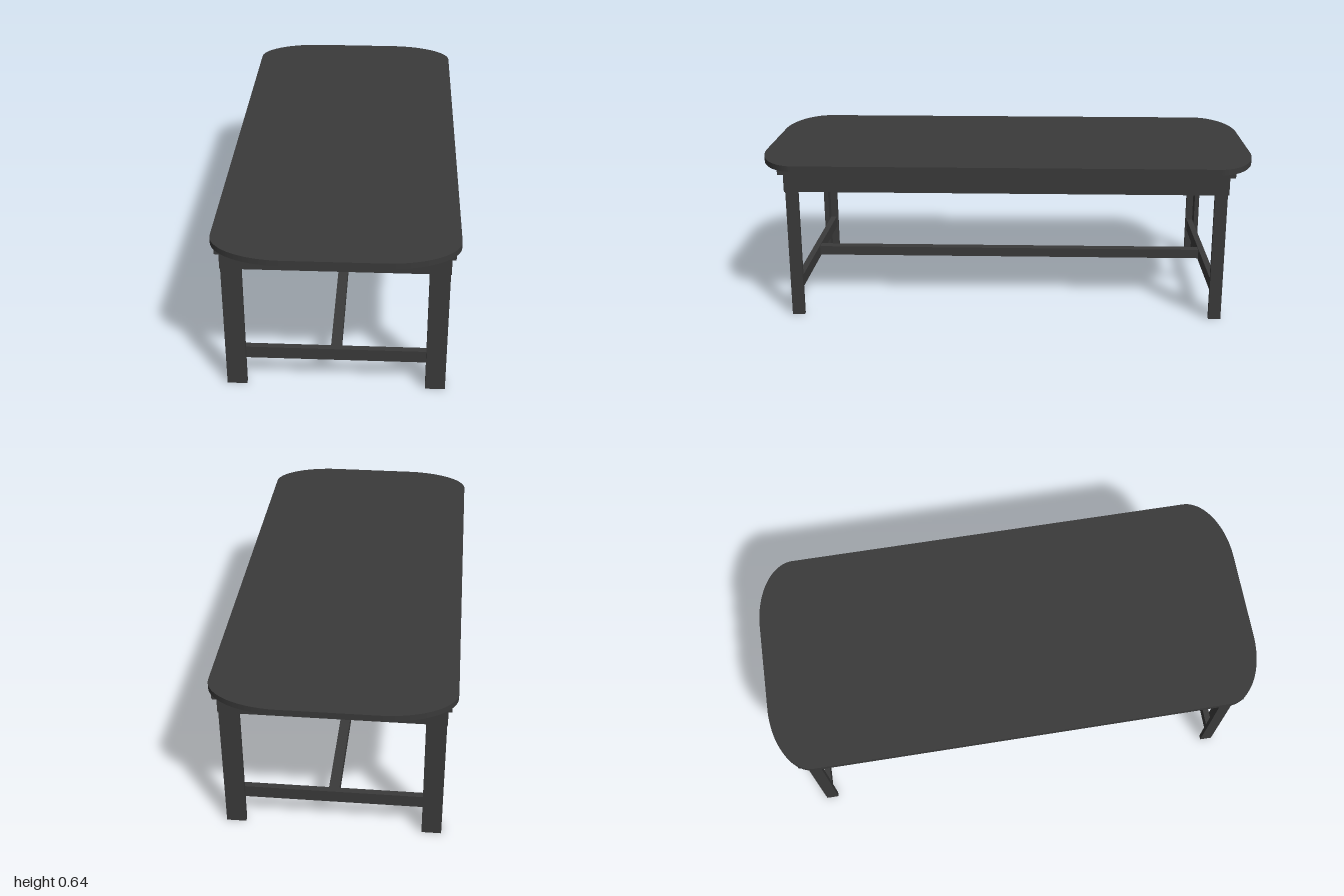
import * as THREE from 'three';

export function createModel() {
  const table = new THREE.Group();
  table.name = 'table';
  const material = new THREE.MeshStandardMaterial({ color: 0x3a3a3a });

  const add = (name, geometry, parent = table) => {
    const mesh = new THREE.Mesh(geometry, material);
    mesh.name = name;
    parent.add(mesh);
    return mesh;
  };
  // Box given by its lower and upper limits on each axis
  const box = (name, [x0, x1], [y0, y1], [z0, z1], parent) =>
    add(name, new THREE.BoxGeometry(x1 - x0, y1 - y0, z1 - z0), parent)
      .position.set((x0 + x1) / 2, (y0 + y1) / 2, (z0 + z1) / 2);

  // Tabletop: rectangle with elliptical corners
  const W = 0.455, L = 1, rx = 0.275, rz = 0.16;
  const outline = new THREE.Shape();
  [[1, 1], [-1, 1], [-1, -1], [1, -1]].forEach(([sx, sz], i) =>
    outline.absellipse(sx * (W - rx), sz * (L - rz), rx, rz, i * Math.PI / 2, (i + 1) * Math.PI / 2, false, 0));
  const top = new THREE.ExtrudeGeometry(outline, { depth: 0.023, bevelEnabled: false, curveSegments: 16 });
  add('tabletop', top.rotateX(-Math.PI / 2).translate(0, 0.62, 0));

  // Stepped frame below the top
  box('frameMoulding', [-0.433, 0.433], [0.602, 0.62], [-0.905, 0.905]);
  box('apron', [-0.42, 0.42], [0.528, 0.602], [-0.885, 0.885]);

  // Legs: L-shaped section with the angle at the outer corner
  for (const sx of [-1, 1]) {
    for (const sz of [-1, 1]) {
      const section = new THREE.Shape([
        [0.418, 0.88], [0.342, 0.88], [0.342, 0.86], [0.4, 0.86], [0.4, 0.83], [0.418, 0.83],
      ].map(([x, z]) => new THREE.Vector2(sx * x, sz * z)));
      const leg = new THREE.ExtrudeGeometry(section, { depth: 0.528, bevelEnabled: false });
      // rotateX sends the section's second axis to -z; all four corners are covered
      add('leg', leg.rotateX(-Math.PI / 2));
    }
  }

  // Stretchers: one rail at each end, joined by a long middle rail
  box('frontRail', [-0.4, 0.4], [0.11, 0.16], [0.835, 0.86]);
  box('backRail', [-0.4, 0.4], [0.11, 0.16], [-0.86, -0.835]);
  box('longStretcher', [-0.02, 0.02], [0.118, 0.157], [-0.835, 0.835]);

  return table;
}
